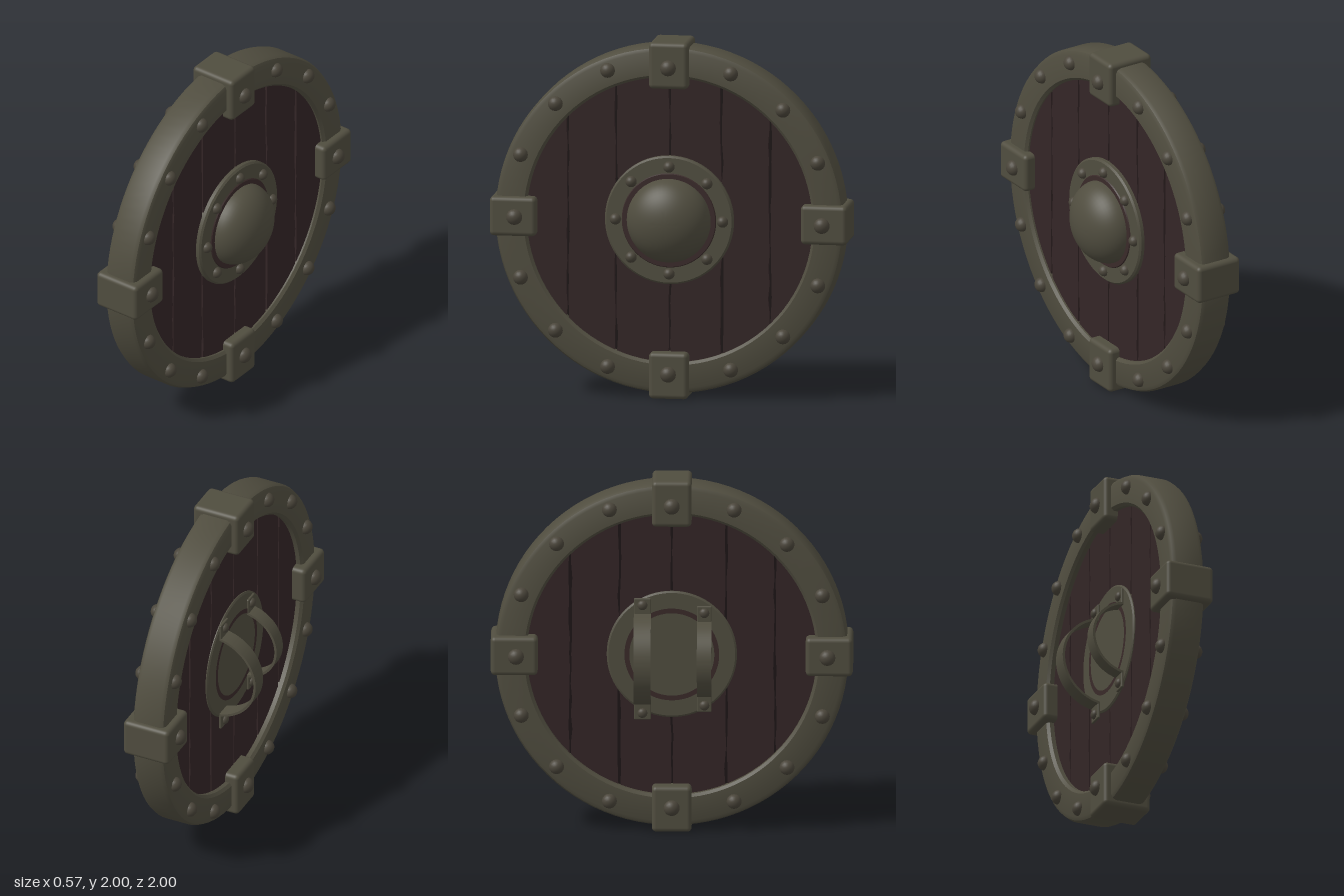
import * as THREE from 'three';
import { toCreasedNormals } from 'three/addons/utils/BufferGeometryUtils.js';
import { RoundedBoxGeometry } from 'three/addons/geometries/RoundedBoxGeometry.js';

const mat = (name, color) => {
  const m = new THREE.MeshStandardMaterial({ color });
  m.name = name;
  return m;
};

export function createModel() {
  const iron = mat('weathered iron', 0x504d3f);
  const rivetIron = mat('rivet iron', 0x4a453a);
  const wood = mat('dark wood', 0x332526);
  const groove = mat('groove shadow', 0x1c1516);
  const rust = mat('rusty trim', 0x392a29);

  const model = new THREE.Group();
  model.name = 'roundShield';
  const body = new THREE.Group();
  body.name = 'shieldBody';
  body.position.y = 1;
  model.add(body);

  const add = (name, geo, material, x = 0, y = 0, z = 0) => {
    const mesh = new THREE.Mesh(geo, material);
    mesh.name = name;
    mesh.position.set(x, y, z);
    body.add(mesh);
    return mesh;
  };
  // Profile of [radius, x] pairs turned about the x axis
  const turned = (pts, segments = 72) => {
    const g = new THREE.LatheGeometry(pts.map(p => new THREE.Vector2(...p)), segments);
    g.rotateZ(-Math.PI / 2);
    return toCreasedNormals(g, 0.6);
  };

  // Outer rim with softened edges
  add('rim', turned([
    [0.80, -0.075], [0.815, -0.09], [0.945, -0.09], [0.965, -0.08], [0.975, -0.06],
    [0.975, 0.08], [0.965, 0.1], [0.945, 0.11], [0.815, 0.11], [0.80, 0.095], [0.80, -0.075],
  ], 96), iron);

  // Dark core seen through the gaps between planks
  add('plankCore', turned([[0, -0.04], [0.81, -0.04], [0.81, 0.06], [0, 0.06]]), groove);

  // Planks cut to the circle, with slightly worn edges
  let seed = 7;
  const rand = () => (seed = (seed * 16807) % 2147483647) / 2147483647;
  const cuts = [-0.82, -0.57, -0.3, 0, 0.29, 0.56, 0.82];
  const R = 0.82;
  for (let i = 0; i < cuts.length - 1; i++) {
    const a = cuts[i] + 0.006, b = cuts[i + 1] - 0.006;
    const half = u => Math.sqrt(Math.max(0, R * R - u * u));
    const pts = [];
    const edge = (u, from, to) => {
      for (let k = 0; k <= 14; k++) {
        const wear = (rand() - 0.5) * 0.01;
        pts.push(new THREE.Vector2(u + wear, from + (to - from) * k / 14));
      }
    };
    const arc = (from, to, sign) => {
      for (let k = 1; k < 10; k++) {
        const u = from + (to - from) * k / 10;
        pts.push(new THREE.Vector2(u, sign * half(u)));
      }
    };
    arc(a, b, -1);
    edge(b, -half(b), half(b));
    arc(b, a, 1);
    edge(a, half(a), -half(a));
    const g = new THREE.ExtrudeGeometry(new THREE.Shape(pts), { depth: 0.135, bevelEnabled: false });
    g.translate(0, 0, -0.05);
    g.rotateY(Math.PI / 2);
    add('plank' + (i + 1), g, wood);
  }

  // Domed rivet standing on the front (side 1) or back (side -1) face
  const rivet = (name, x, y, z, r, h, side) => {
    const g = new THREE.SphereGeometry(r, 16, 6, 0, Math.PI * 2, 0, Math.PI / 2);
    g.scale(1, h / r, 1);
    g.rotateZ(-side * Math.PI / 2);
    add(name, g, rivetIron, x, y, z);
  };

  // Rim rivets and the four clamps
  for (let i = 0; i < 16; i++) {
    const t = i * Math.PI / 8, c = Math.cos(t), s = Math.sin(t);
    if (i % 4) {
      rivet('rimRivetFront', 0.108, 0.9 * c, 0.9 * s, 0.042, 0.04, 1);
      rivet('rimRivetBack', -0.088, 0.9 * c, 0.9 * s, 0.042, 0.04, -1);
    } else {
      const clamp = add('clamp', new RoundedBoxGeometry(0.28, 0.26, 0.22, 3, 0.025),
        iron, 0.01, 0.87 * c, 0.87 * s);
      clamp.rotation.x = t;
      rivet('clampRivetFront', 0.148, 0.86 * c, 0.86 * s, 0.045, 0.04, 1);
      rivet('clampRivetBack', -0.128, 0.86 * c, 0.86 * s, 0.045, 0.04, -1);
    }
  }

  // Boss: flange, rusty trim, dome and its rivets
  add('bossFlange', turned([
    [0.36, 0.07], [0.36, 0.105], [0.35, 0.115], [0.25, 0.115], [0.24, 0.105],
  ]), iron);
  add('bossTrim', turned([[0.265, 0.114], [0.26, 0.121], [0.225, 0.121]]), rust);
  const dome = [];
  for (let k = 0; k <= 16; k++) {
    const t = k / 16 * Math.PI / 2;
    dome.push([Math.max(0, 0.235 * Math.cos(t)), 0.115 + 0.17 * Math.sin(t)]);
  }
  add('bossDome', turned(dome, 48), iron);
  for (let i = 0; i < 8; i++) {
    const t = i * Math.PI / 4;
    rivet('bossRivet', 0.113, 0.3 * Math.cos(t), 0.3 * Math.sin(t), 0.032, 0.033, 1);
  }

  // Back plate behind the boss
  add('backPlate', turned([[0, -0.062], [0.35, -0.062], [0.36, -0.055], [0.36, -0.045]]), iron);
  add('backTrim', turned([[0.235, -0.066], [0.262, -0.066]]), rust);

  // Two curved arm straps with riveted feet
  const strap = (name, r, cx, z, width) => {
    const cy = -0.025, thick = 0.014;
    const t = Math.acos((-0.062 - cx) / r);
    const shape = new THREE.Shape();
    shape.absarc(cx, cy, r, t, 2 * Math.PI - t, false);
    shape.absarc(cx, cy, r - thick, 2 * Math.PI - t, t, true);
    const g = new THREE.ExtrudeGeometry(shape, { depth: width, bevelEnabled: false, curveSegments: 40 });
    g.translate(0, 0, -width / 2);
    add(name, toCreasedNormals(g, 0.6), iron, 0, 0, z);
    for (const s of [1, -1]) {
      const y = cy + s * (r * Math.sin(t) + 0.035);
      add(name + 'Foot', new RoundedBoxGeometry(0.016, 0.1, width, 2, 0.006), iron, -0.066, y, z);
      rivet(name + 'Rivet', -0.073, y + s * 0.012, z, 0.028, 0.022, -1);
    }
  };
  strap('forearmStrap', 0.264, -0.021, -0.162, 0.095);
  strap('handGrip', 0.22, -0.025, 0.18, 0.08);

  return model;
}
